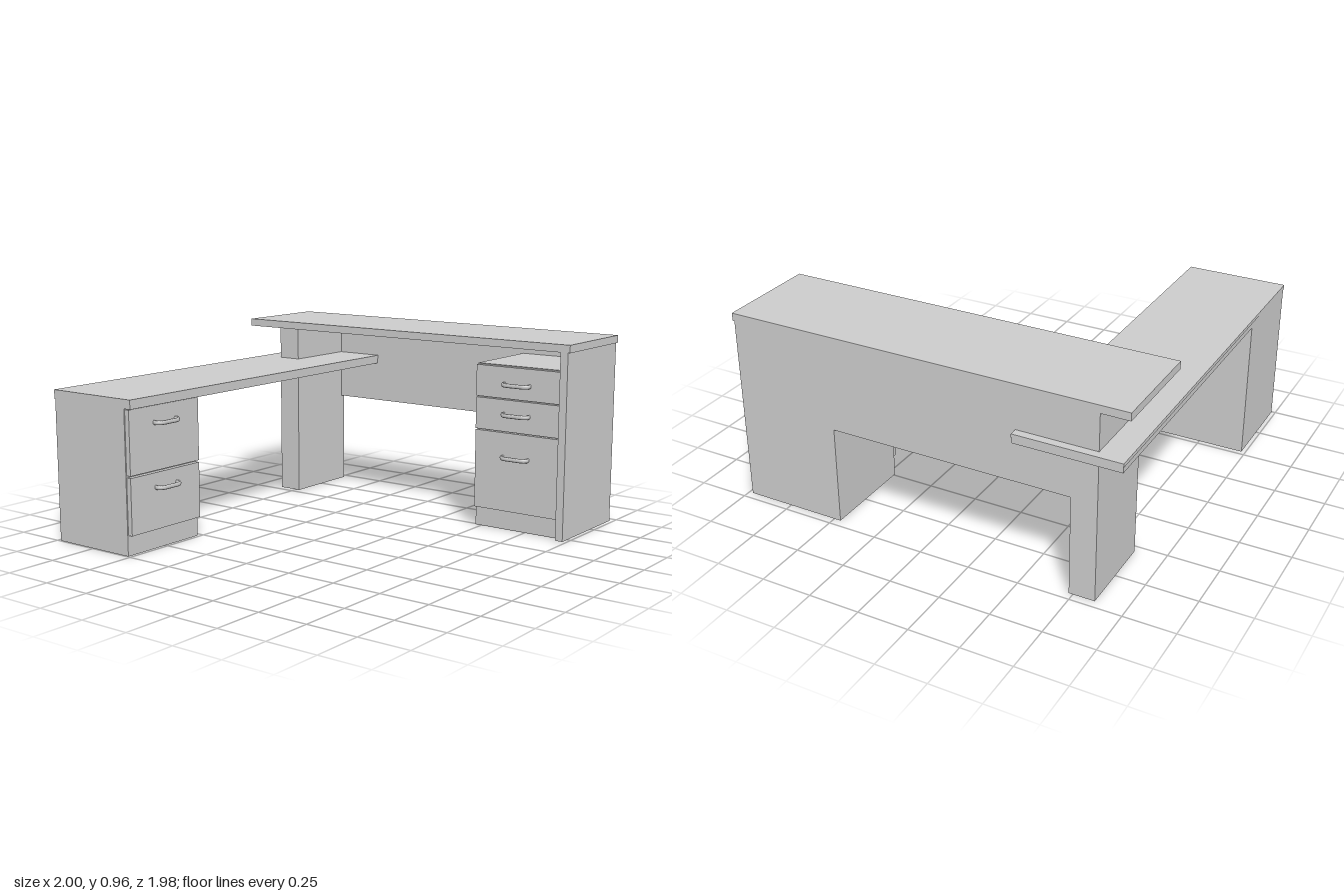
import * as THREE from 'three';

const material = new THREE.MeshStandardMaterial({ color: 0xcccccc });

// Box given by its minimum and maximum along each axis
function box(name, [x0, x1], [y0, y1], [z0, z1]) {
  const mesh = new THREE.Mesh(new THREE.BoxGeometry(x1 - x0, y1 - y0, z1 - z0), material);
  mesh.name = name;
  mesh.position.set((x0 + x1) / 2, (y0 + y1) / 2, (z0 + z1) / 2);
  return mesh;
}

// Bow handle spanning x, standing out along +z, slightly flattened
function bowHandle() {
  const points = [[-0.07, 0], [-0.072, 0.02], [-0.052, 0.037], [0, 0.039], [0.052, 0.037], [0.072, 0.02], [0.07, 0]];
  const curve = new THREE.CatmullRomCurve3(points.map(([x, z]) => new THREE.Vector3(x, 0, z)));
  const geometry = new THREE.TubeGeometry(curve, 28, 0.006, 8);
  geometry.scale(1, 1.8, 1);
  const mesh = new THREE.Mesh(geometry, material);
  mesh.name = 'handle';
  return mesh;
}

// Drawer pedestal facing +z, centred on x, with the drawer faces at z = 0
function pedestal(name, width, height, depth, drawers) {
  const group = new THREE.Group();
  group.name = name;
  const w = width / 2;
  group.add(box('cabinet', [-w, w], [0, height], [-depth, -0.025]));
  for (const { bottom, top, handleY } of drawers) {
    group.add(box('drawerFront', [-w + 0.005, w - 0.005], [bottom, top], [-0.025, 0]));
    const handle = bowHandle();
    handle.position.set(0, handleY, 0);
    group.add(handle);
  }
  return group;
}

export function createModel() {
  const model = new THREE.Group();

  // Low worktop in two layers
  model.add(box('worktopCore', [-0.998, 0.998], [0.7, 0.727], [-0.98, -0.472]));
  model.add(box('worktopSurface', [-1, 1], [0.727, 0.745], [-0.982, -0.47]));

  // Two-drawer pedestal under the worktop
  const lowPedestal = pedestal('lowPedestal', 0.47, 0.7, 0.49, [
    { bottom: 0.1, top: 0.375, handleY: 0.305 },
    { bottom: 0.385, top: 0.695, handleY: 0.615 },
  ]);
  lowPedestal.position.set(-0.76, 0, -0.49);
  model.add(lowPedestal);

  // High counter
  model.add(box('counterTop', [0.45, 0.96], [0.922, 0.96], [-0.99, 0.99]));
  model.add(box('counterEndPanel', [0.45, 0.96], [0, 0.922], [0.94, 0.98]));
  model.add(box('modestyPanel', [0.935, 0.96], [0.49, 0.922], [-0.855, 0.94]));

  // Rear column carrying both tops
  model.add(box('rearLeg', [0.54, 0.96], [0, 0.7], [-0.855, -0.73]));
  model.add(box('counterRiser', [0.54, 0.96], [0.745, 0.922], [-0.855, -0.73]));

  // Three-drawer pedestal under the counter, facing -x
  const tallPedestal = pedestal('tallPedestal', 0.475, 0.83, 0.495, [
    { bottom: 0.1, top: 0.497, handleY: 0.375 },
    { bottom: 0.503, top: 0.662, handleY: 0.59 },
    { bottom: 0.668, top: 0.825, handleY: 0.74 },
  ]);
  tallPedestal.rotation.y = -Math.PI / 2;
  tallPedestal.position.set(0.465, 0, 0.7025);
  model.add(tallPedestal);
  model.add(box('sidePanel', [0.935, 0.96], [0, 0.49], [0.465, 0.94]));

  return model;
}
